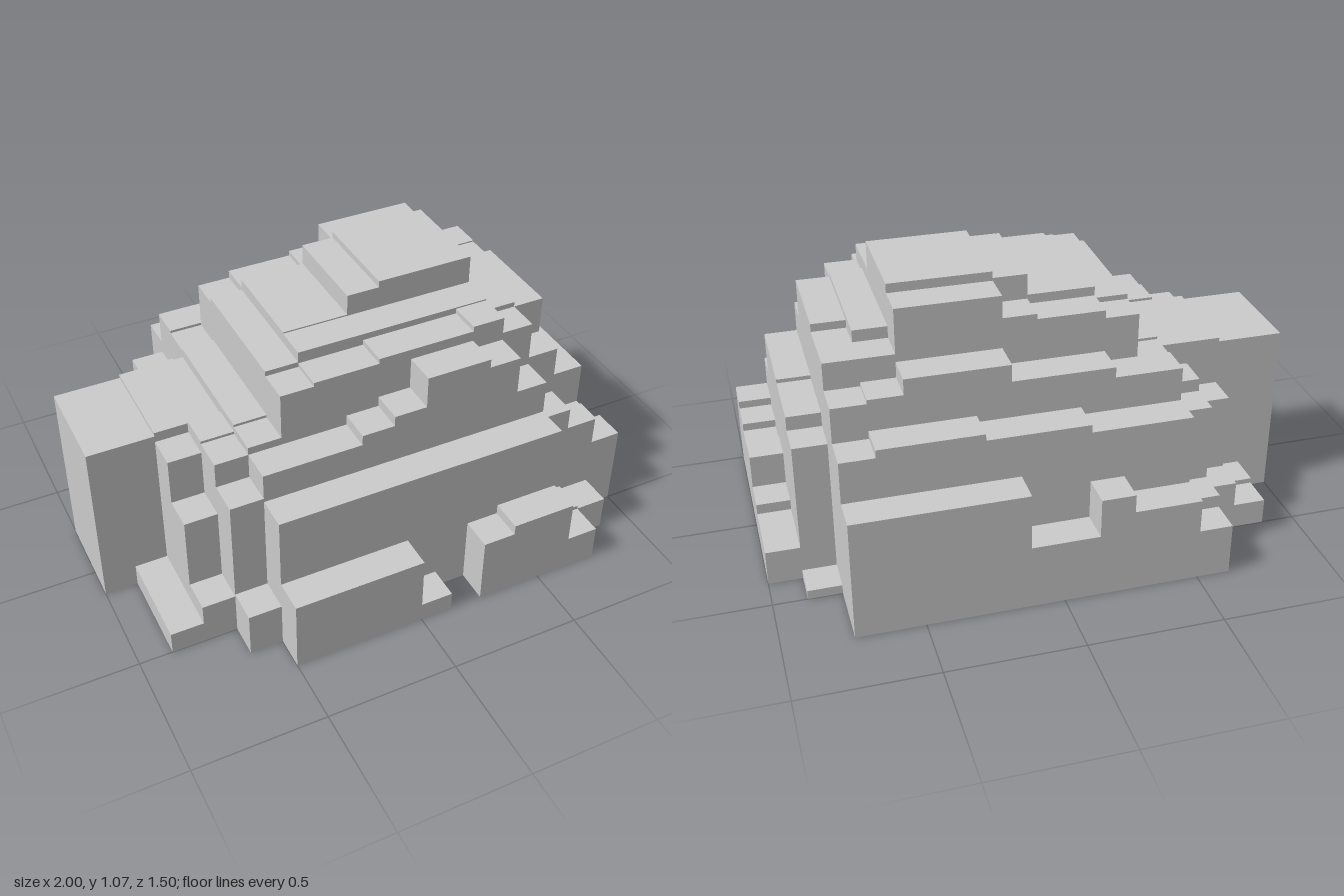
import * as THREE from 'three';
import { mergeGeometries } from 'three/addons/utils/BufferGeometryUtils.js';

const CELL = 0.125;
const material = new THREE.MeshStandardMaterial({ color: 0xcccccc, flatShading: true });

// One terrace runs along x, one cell deep. Steps are [cells wide, height].
function terrace(name, row, startCol, steps) {
  const boxes = [];
  let x = -1 + startCol * CELL;
  for (const [cells, height] of steps) {
    const width = cells * CELL;
    if (height > 0) {
      boxes.push(new THREE.BoxGeometry(width, height, CELL)
        .translate(x + width / 2, height / 2, -0.75 + (row + 0.5) * CELL));
    }
    x += width;
  }
  const mesh = new THREE.Mesh(mergeGeometries(boxes), material);
  mesh.name = name;
  return mesh;
}

export function createModel() {
  const rock = new THREE.Group();
  rock.name = 'steppedRock';

  // Back slope, rising towards the middle
  rock.add(
    terrace('backFoot', 0, 3, [[1, 0.2], [2, 0.33], [1, 0.4], [2, 0.25], [5, 0.465]]),
    terrace('backLowerTerrace', 1, 3, [[1, 0.25], [3, 0.6], [3, 0.63], [3, 0.655], [1, 0.625]]),
    terrace('backMiddleTerrace', 2, 1, [[1, 0.1], [1, 0.2], [1, 0.55], [2, 0.73], [3, 0.77],
      [3, 0.835], [1, 0.775], [1, 0.76], [1, 0.035]]),
    terrace('backUpperTerrace', 3, 1, [[1, 0.12], [1, 0.5], [1, 0.6], [1, 0.72], [1, 0.9], [2, 0.93],
      [1, 0.95], [3, 1.035], [2, 0.865], [1, 0.55], [1, 0.135]])
  );

  // Summit: three rows share the shelf and the crest, the left flank varies
  const crest = [[2, 0.675], [2, 0.69], [1, 0.73], [1, 0.92], [2, 0.965], [1, 1.045], [3, 1.07], [1, 0.91]];
  const flanks = [[0.86, 0.605, 0.135], [0.89, 0.605, 0.175], [0.89, 0.62, 0.305]];
  flanks.forEach((flank, i) => {
    rock.add(terrace('summitTerrace' + (i + 1), 4 + i, 0, [...crest, ...flank.map((h) => [1, h])]));
  });

  // Front slope, falling to the broken foot
  rock.add(
    terrace('frontUpperTerrace', 7, 1, [[1, 0.09], [1, 0.65], [1, 0.7], [1, 0.73], [1, 0.92],
      [6, 0.96], [1, 0.91], [1, 0.89], [1, 0.62], [1, 0.275]]),
    terrace('frontShoulder', 8, 1, [[1, 0.09], [1, 0.465], [1, 0.69], [1, 0.72], [1, 0.9], [2, 0.915],
      [3, 0.935], [1, 0.955], [1, 0.89], [1, 0.74], [1, 0.62], [1, 0.305]]),
    terrace('frontMiddleTerrace', 9, 1, [[1, 0.09], [1, 0.17], [1, 0.59], [3, 0.69], [1, 0.73],
      [1, 0.77], [2, 0.895], [1, 0.86], [1, 0.71], [1, 0.54], [1, 0.45], [1, 0.335]]),
    terrace('frontLowerTerrace', 10, 3, [[1, 0.18], [9, 0.575], [1, 0.155], [1, 0.14]]),
    terrace('frontFoot', 11, 4, [[4, 0.29], [1, 0.075], [1, 0], [1, 0.27], [2, 0.31], [1, 0.14]])
  );

  return rock;
}
